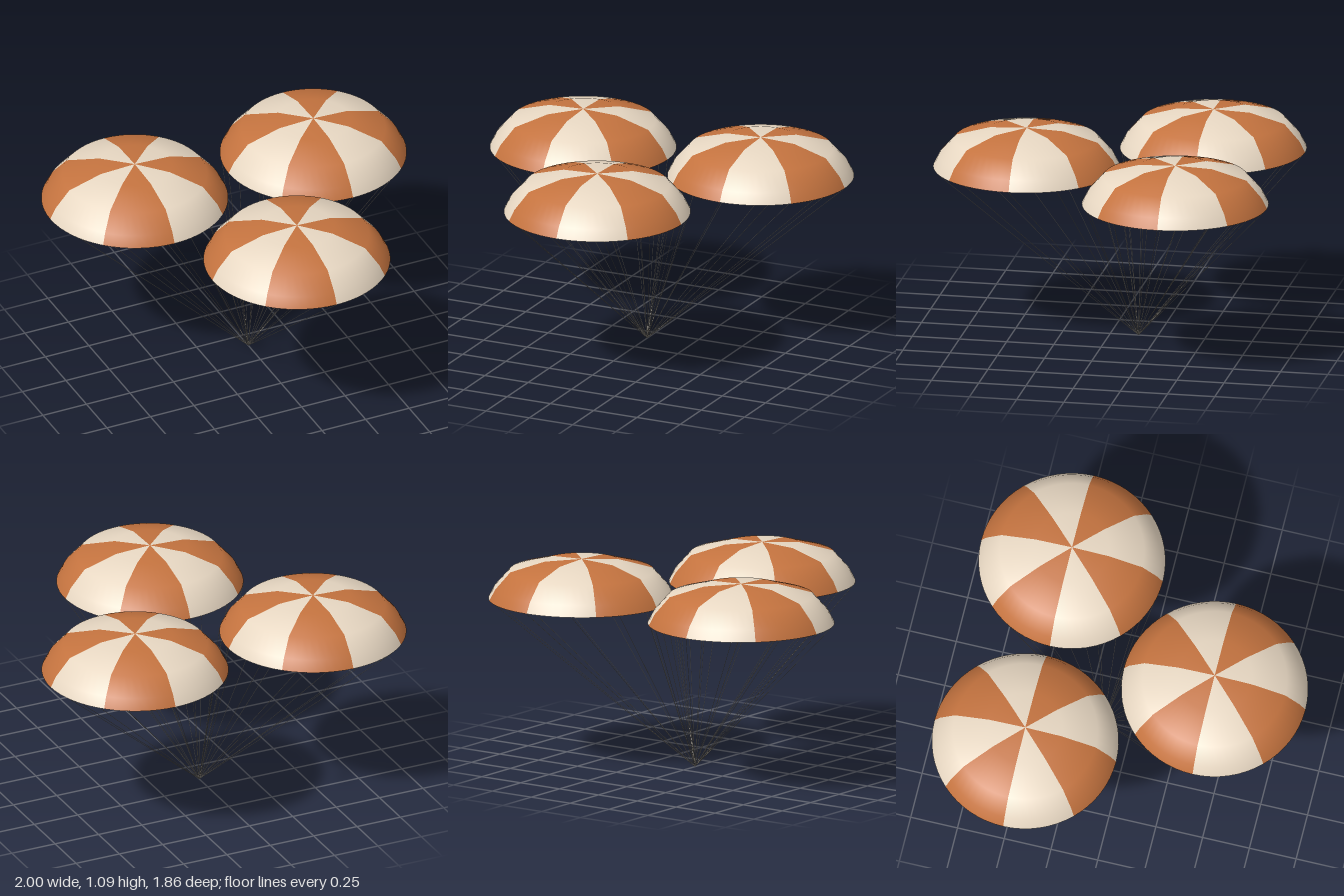
import * as THREE from 'three';

const RIM_Y = 0.884, RADIUS = 0.486, SPREAD = 0.592, APEX_Z = -0.149;
const GORES = 8, LINES = 12;

const material = (name, color, side = THREE.FrontSide) => {
  const m = new THREE.MeshStandardMaterial({ color, side });
  m.name = name;
  return m;
};

// Thin round rod between two points
function rod(a, b, radius, mat) {
  const dir = b.clone().sub(a);
  const mesh = new THREE.Mesh(new THREE.CylinderGeometry(radius, radius, dir.length(), 8), mat);
  mesh.position.copy(a).addScaledVector(dir, 0.5);
  mesh.quaternion.setFromUnitVectors(new THREE.Vector3(0, 1, 0), dir.normalize());
  return mesh;
}

export function createModel() {
  const model = new THREE.Group();
  model.name = 'parachuteCluster';
  const orange = material('orange fabric', 0xc4733f, THREE.DoubleSide);
  const cream = material('cream fabric', 0xe8d8c3, THREE.DoubleSide);
  const cord = material('pale grey cord', 0xb4aea4);

  // Flattened dome profile, rim to crown
  const profile = [[RADIUS, 0], [0.456, 0.058], [0.376, 0.148], [0.195, 0.199], [0, 0.207]]
    .map(([r, y]) => new THREE.Vector2(r, y));
  const knot = new THREE.Vector3(0, 0.001, APEX_Z);

  // Three parachutes evenly spread around the shared knot
  for (let c = 0; c < 3; c++) {
    const around = (c * Math.PI * 2) / 3;
    const centre = new THREE.Vector3(Math.sin(around) * SPREAD, RIM_Y, APEX_Z + Math.cos(around) * SPREAD);
    const parachute = new THREE.Group();
    parachute.name = 'parachute';

    // Alternating cloth gores
    const canopy = new THREE.Group();
    canopy.name = 'canopy';
    canopy.position.copy(centre);
    const step = (Math.PI * 2) / GORES;
    for (let i = 0; i < GORES; i++) {
      const gore = new THREE.Mesh(new THREE.LatheGeometry(profile, 8, i * step, step), i % 2 ? orange : cream);
      gore.name = 'gore';
      canopy.add(gore);
    }

    // Suspension lines from rim to knot
    const lines = new THREE.Group();
    lines.name = 'suspensionLines';
    for (let i = 0; i < LINES; i++) {
      const a = (i * Math.PI * 2) / LINES;
      const rim = new THREE.Vector3(Math.sin(a) * RADIUS, 0, Math.cos(a) * RADIUS).add(centre);
      const line = rod(knot, rim, 0.0012, cord);
      line.name = 'suspensionLine';
      lines.add(line);
    }
    parachute.add(canopy, lines);
    model.add(parachute);
  }
  return model;
}
